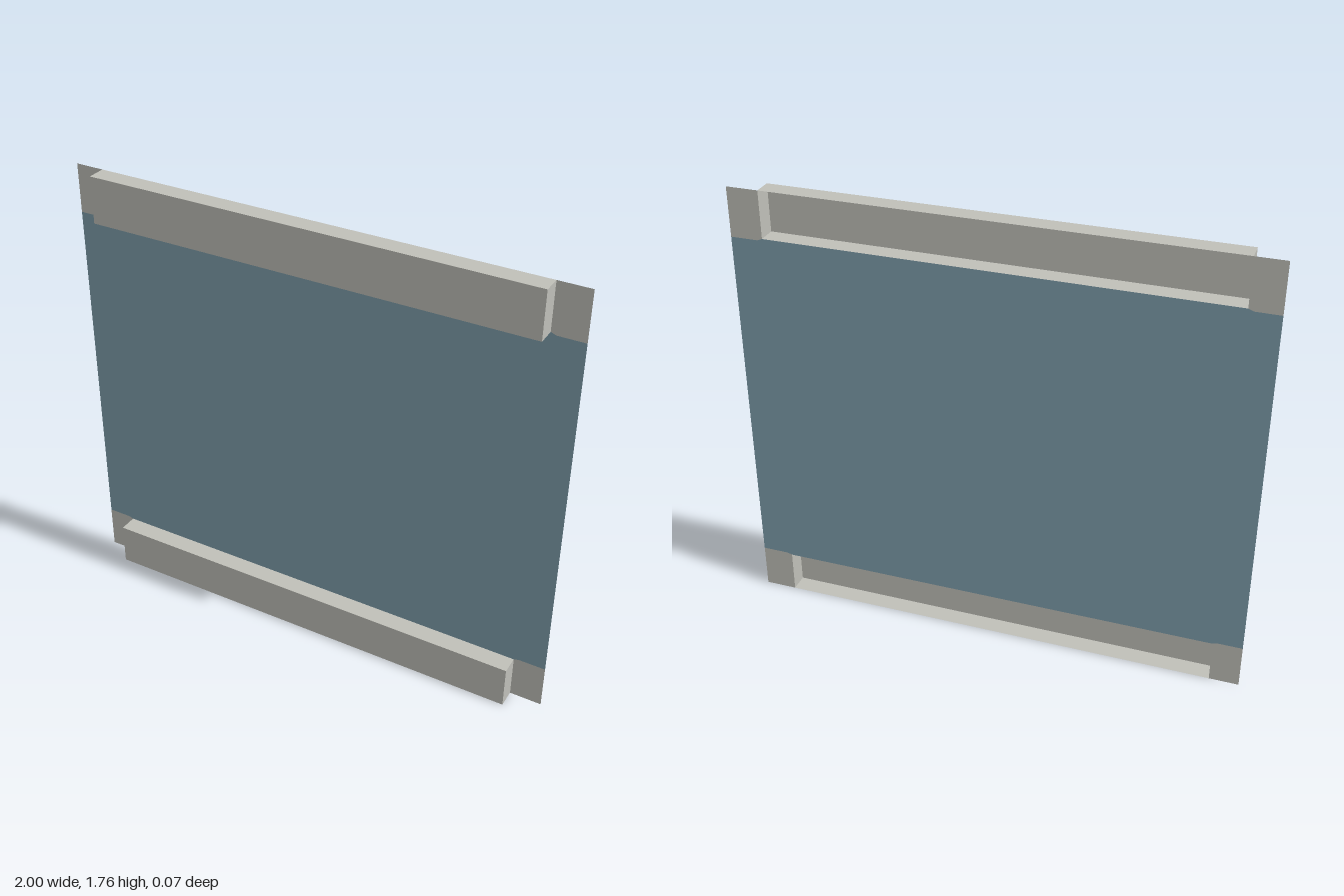
import * as THREE from 'three';

const HEIGHT = 1.765, LEFT = -0.885, RIGHT = 0.875, BACK = -0.037, FRONT = 0.037;
const LOW = 0.172, HIGH = 1.58; // inner edges of the two rails
const CORNER_LOW = 0.178, CORNER_HIGH = 1.572; // colour border beside the rails

export function createModel() {
  const model = new THREE.Group();
  model.name = 'panel';
  const grey = new THREE.MeshStandardMaterial({ color: 0xc0c0b9, side: THREE.DoubleSide });
  grey.name = 'light grey';
  const blue = new THREE.MeshStandardMaterial({ color: 0x7e9eac, side: THREE.DoubleSide });
  blue.name = 'dusty blue';

  const add = (name, geometry, material, x = 0, y = 0, z = 0) => {
    const mesh = new THREE.Mesh(geometry, material);
    mesh.name = name;
    mesh.position.set(x, y, z);
    model.add(mesh);
    return mesh;
  };
  const sheet = (name, points, material) => {
    const shape = new THREE.Shape(points.map(([x, y]) => new THREE.Vector2(x, y)));
    add(name, new THREE.ShapeGeometry(shape), material, 0, 0, BACK);
  };

  // Flat sheet, slightly notched where it meets the rails
  sheet('screen', [
    [-1, CORNER_LOW], [LEFT - 0.02, CORNER_LOW], [LEFT, LOW], [RIGHT, LOW],
    [RIGHT + 0.02, CORNER_LOW], [1, CORNER_LOW], [1, CORNER_HIGH],
    [RIGHT + 0.02, CORNER_HIGH], [RIGHT, HIGH], [LEFT, HIGH],
    [LEFT - 0.02, CORNER_HIGH], [-1, CORNER_HIGH],
  ], blue);

  // Corner tabs in the plane of the sheet
  for (const [side, inner] of [[-1, LEFT], [1, RIGHT]]) {
    const label = side < 0 ? 'right' : 'left';
    for (const [end, outer, edge, border] of [
      ['Lower', 0, LOW, CORNER_LOW], ['Upper', HEIGHT, HIGH, CORNER_HIGH],
    ]) {
      sheet(`${label}${end}Tab`, [
        [side, outer], [inner, outer], [inner, edge], [inner + side * 0.02, border], [side, border],
      ], grey);
    }
  }

  // Hollow rails standing forward of the sheet, open at the back
  const width = RIGHT - LEFT, depth = FRONT - BACK, midX = (LEFT + RIGHT) / 2;
  for (const [name, y0, y1] of [['lowerRail', 0, LOW], ['upperRail', HIGH, HEIGHT]]) {
    const h = y1 - y0, midY = (y0 + y1) / 2;
    add(name + 'Face', new THREE.PlaneGeometry(width, h), grey, midX, midY, FRONT);
    for (const [part, y, turn] of [['Bottom', y0, 1], ['Top', y1, -1]]) {
      add(name + part, new THREE.PlaneGeometry(width, depth), grey, midX, y, 0).rotation.x = turn * Math.PI / 2;
    }
    for (const [part, x, turn] of [['RightEnd', LEFT, -1], ['LeftEnd', RIGHT, 1]]) {
      add(name + part, new THREE.PlaneGeometry(depth, h), grey, x, midY, 0).rotation.y = turn * Math.PI / 2;
    }
  }
  return model;
}
